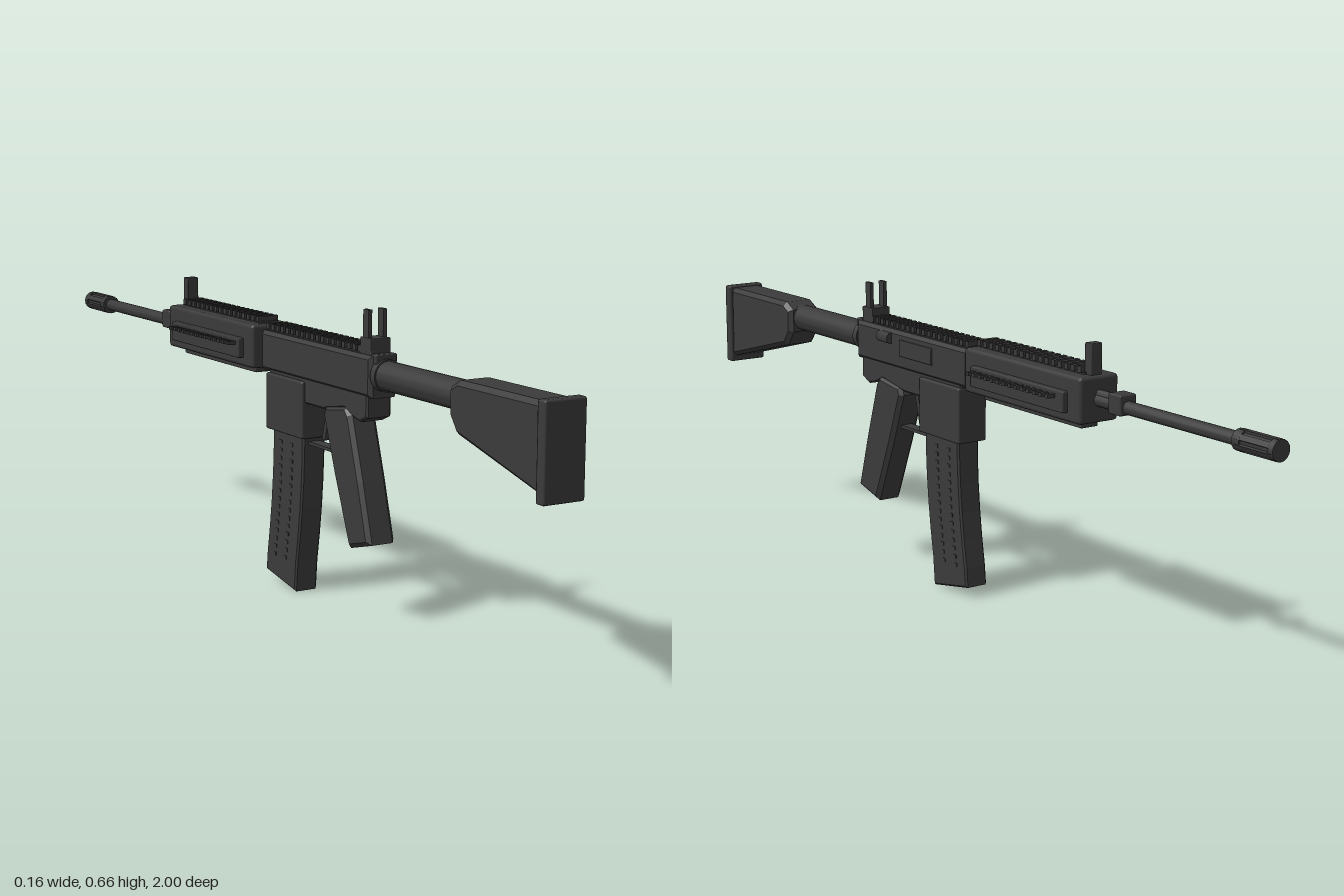
import * as THREE from 'three';
import { RoundedBoxGeometry } from 'three/addons/geometries/RoundedBoxGeometry.js';
import { toCreasedNormals } from 'three/addons/utils/BufferGeometryUtils.js';

export function createModel() {
  const model = new THREE.Group();
  const gunmetal = new THREE.MeshStandardMaterial({ color: 0x3b3b3b });
  gunmetal.name = 'dark grey';

  const add = (name, geometry, parent = model) => {
    const mesh = new THREE.Mesh(geometry, gunmetal);
    mesh.name = name;
    parent.add(mesh);
    return mesh;
  };
  const group = (name) => {
    const g = new THREE.Group();
    g.name = name;
    model.add(g);
    return g;
  };
  // Box from its limits on each axis, optionally rounded
  const box = (name, [x0, x1], [y0, y1], [z0, z1], r = 0, parent = model) => {
    const s = [x1 - x0, y1 - y0, z1 - z0];
    const g = r ? new RoundedBoxGeometry(...s, 1, r) : new THREE.BoxGeometry(...s);
    g.translate((x0 + x1) / 2, (y0 + y1) / 2, (z0 + z1) / 2);
    return add(name, g, parent);
  };
  // Side profile of [z, y] points, extruded across x with a chamfer
  const profile = (name, points, halfWidth, bevel = 0.006) => {
    const shape = new THREE.Shape(points.map(([z, y]) => new THREE.Vector2(z, y)));
    const g = new THREE.ExtrudeGeometry(shape, {
      depth: 2 * (halfWidth - bevel), bevelEnabled: true, bevelSize: bevel,
      bevelThickness: bevel, bevelOffset: -bevel, bevelSegments: 1,
    });
    g.translate(0, 0, -(halfWidth - bevel)).rotateY(-Math.PI / 2);
    return add(name, g);
  };
  // Round part along z
  const rod = (name, r, y, z0, z1, sides = 20, parent = model) => {
    const g = new THREE.CylinderGeometry(r, r, z1 - z0, sides).rotateX(Math.PI / 2);
    g.translate(0, y, (z0 + z1) / 2);
    return add(name, toCreasedNormals(g, 0.6), parent);
  };

  // Stock, butt plate and tube
  profile('stock', [[0.98, 0.566], [0.715, 0.566], [0.685, 0.55], [0.685, 0.495],
    [0.71, 0.46], [0.98, 0.39]], 0.042, 0.01);
  box('buttPlate', [-0.048, 0.048], [0.376, 0.571], [0.975, 1], 0.005);
  rod('stockTube', 0.031, 0.528, 0.39, 0.7, 24);
  rod('tubeCollar', 0.034, 0.528, 0.395, 0.412, 24);

  // Receiver
  profile('upperReceiver', [[0.395, 0.568], [0.395, 0.48], [-0.055, 0.48], [-0.055, 0.568]], 0.034, 0.008);
  profile('lowerReceiver', [[0.378, 0.49], [0.378, 0.437], [0.35, 0.425], [0.32, 0.432],
    [0.29, 0.446], [0.2, 0.43], [-0.025, 0.43], [-0.025, 0.49]], 0.03, 0.004);
  box('ejectionPort', [0.03, 0.038], [0.512, 0.55], [0.08, 0.21], 0.002);
  const assist = add('forwardAssist', toCreasedNormals(
    new THREE.CylinderGeometry(0.013, 0.013, 0.045, 12).rotateX(Math.PI / 2), 0.6));
  assist.position.set(0.035, 0.548, 0.267);
  box('chargingHandle', [-0.026, 0.026], [0.552, 0.572], [0.385, 0.405], 0.003);

  // Handguard with side and bottom rails
  box('handguard', [-0.05, 0.05], [0.48, 0.578], [-0.47, -0.065], 0.008);
  box('bottomRail', [-0.022, 0.022], [0.465, 0.485], [-0.44, -0.1], 0.003);
  for (const side of [-1, 1]) {
    const rail = group(side > 0 ? 'leftSideRail' : 'rightSideRail');
    const span = (a, b) => (side > 0 ? [a, b] : [-b, -a]);
    box('railPlate', span(0.045, 0.063), [0.5, 0.545], [-0.43, -0.105], 0.003, rail);
    for (let i = 0; i < 14; i++) {
      const z = -0.4 + i * 0.0213;
      box('railPeg', span(0.06, 0.082), [0.529, 0.537], [z - 0.005, z + 0.005], 0, rail);
    }
  }

  // Toothed top rails
  const topRail = (name, z0, z1, y, count) => {
    const rail = group(name);
    box('railBase', [-0.02, 0.02], [y - 0.02, y], [z0, z1], 0, rail);
    const step = (z1 - z0) / count;
    for (let i = 0; i < count; i++) {
      const z = z0 + (i + 0.5) * step;
      box('railTooth', [-0.025, 0.025], [y - 0.002, y + 0.011], [z - step * 0.28, z + step * 0.28], 0, rail);
    }
  };
  topRail('receiverRail', -0.05, 0.35, 0.573, 19);
  topRail('handguardRail', -0.445, -0.075, 0.583, 17);

  // Sights
  const rear = group('rearSight');
  box('sightBase', [-0.024, 0.024], [0.565, 0.602], [0.34, 0.383], 0.002, rear);
  for (const x of [-0.018, 0.018])
    box('sightPost', [x - 0.0045, x + 0.0045], [0.595, 0.66], [0.35, 0.37], 0, rear);
  box('frontSight', [-0.014, 0.014], [0.575, 0.643], [-0.46, -0.438], 0.002);

  // Barrel, gas block and fluted muzzle
  rod('barrel', 0.014, 0.528, -0.9, -0.46);
  box('gasBlock', [-0.021, 0.021], [0.512, 0.555], [-0.562, -0.522], 0.004);
  rod('gasTube', 0.009, 0.541, -0.525, -0.46, 12);
  const muzzle = group('muzzle');
  rod('muzzleCore', 0.018, 0.528, -0.995, -0.888, 16, muzzle);
  rod('muzzleRing', 0.022, 0.528, -0.908, -0.888, 16, muzzle);
  rod('muzzleTip', 0.022, 0.528, -1, -0.985, 16, muzzle);
  for (let i = 0; i < 6; i++) {
    const a = (i * Math.PI) / 3;
    const prong = add('muzzleProng', new THREE.BoxGeometry(0.012, 0.008, 0.1), muzzle);
    prong.position.set(Math.sin(a) * 0.0175, 0.528 + Math.cos(a) * 0.0175, -0.945);
    prong.rotation.z = -a;
  }

  // Grip, trigger and guard
  profile('grip', [[0.3, 0.452], [0.315, 0.435], [0.358, 0.3], [0.395, 0.172], [0.313, 0.15],
    [0.252, 0.3], [0.208, 0.42], [0.215, 0.44]], 0.034, 0.009);
  box('triggerGuard', [-0.014, 0.014], [0.337, 0.344], [0.11, 0.25]);
  const trigger = box('trigger', [-0.006, 0.006], [-0.04, 0.04], [-0.006, 0.006]);
  trigger.position.set(0, 0.395, 0.178);
  trigger.rotation.x = 0.25;

  // Magazine well and curved magazine, with studs following the curve
  box('magazineWell', [-0.038, 0.038], [0.352, 0.478], [-0.027, 0.13], 0.005);
  const bend = (y) => -0.28 * Math.max(0, 0.35 - y) ** 1.8;
  const front = [], back = [];
  for (let i = 0; i <= 6; i++) {
    const y = 0.38 - i * 0.062;
    front.push([-0.011 + bend(y), Math.max(y, 0.027)]);
    back.push([0.12 + bend(y), y]);
  }
  front[6] = [-0.044, 0.026];
  back[6] = [0.085, 0.002];
  profile('magazine', [...front, ...back.reverse()], 0.028, 0.004);
  const studs = group('magazineStuds');
  for (let i = 0; i < 15; i++) {
    const y = 0.33 - i * 0.0185;
    for (const z of [0.072, 0.026])
      box('stud', [-0.0295, 0.0295], [y - 0.004, y + 0.004], [z + bend(y) - 0.005, z + bend(y) + 0.005], 0, studs);
  }
  return model;
}
